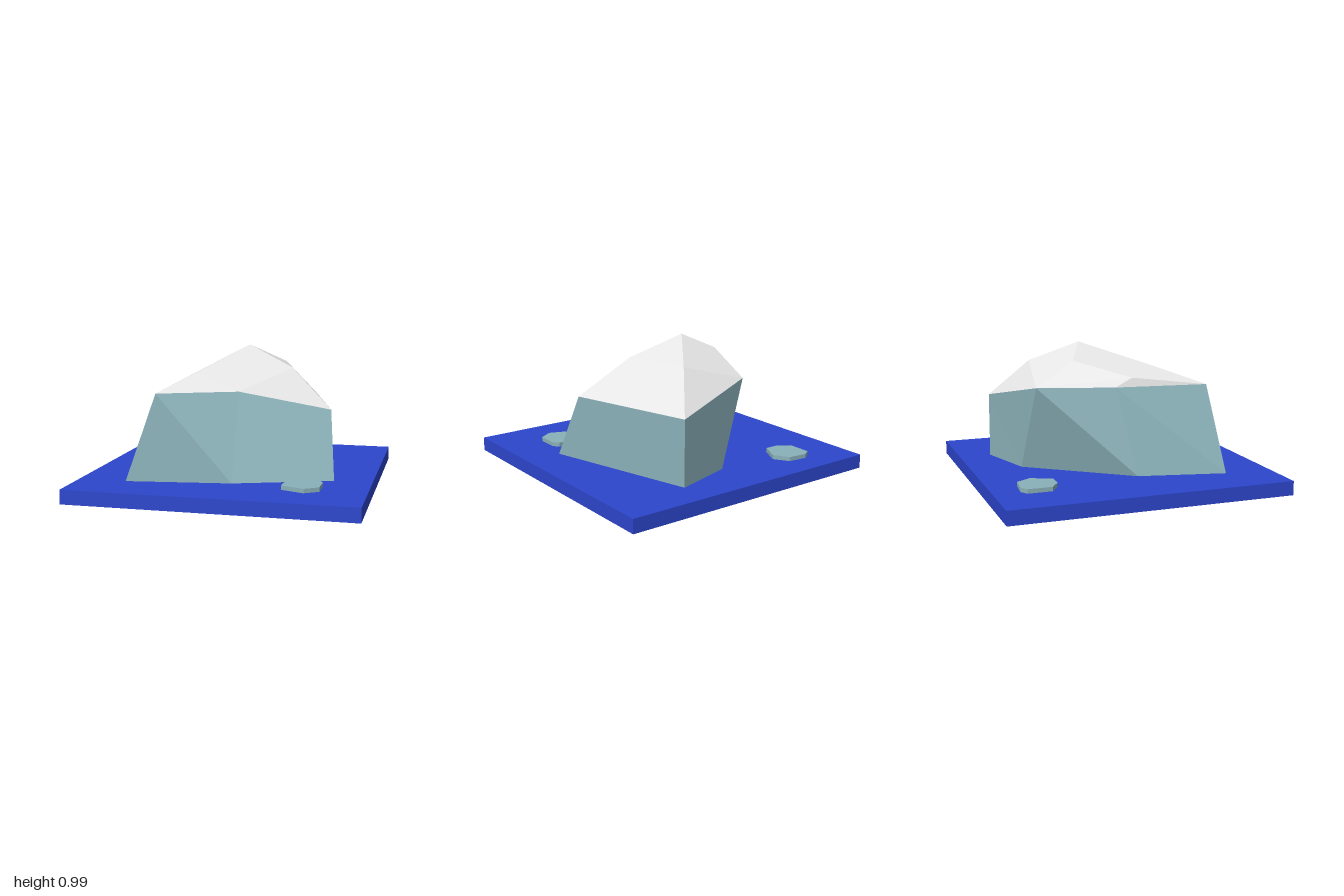
import * as THREE from 'three';

const BASE = 0.1; // height of the water surface

const flat = (name, color) => {
  const m = new THREE.MeshStandardMaterial({ color, flatShading: true });
  m.name = name;
  return m;
};

// Faceted mesh from triangles given as triples of points
function facets(name, triangles, material) {
  const g = new THREE.BufferGeometry();
  g.setAttribute('position', new THREE.Float32BufferAttribute(triangles.flat(2), 3));
  g.computeVertexNormals();
  const mesh = new THREE.Mesh(g, material);
  mesh.name = name;
  return mesh;
}

// Thin floating slab from an outline of [x, z] points
function floe(name, outline, material) {
  const shape = new THREE.Shape(outline.map(([x, z]) => new THREE.Vector2(x, -z)));
  const g = new THREE.ExtrudeGeometry(shape, { depth: 0.03, bevelEnabled: false });
  g.rotateX(-Math.PI / 2).translate(0, BASE, 0);
  const mesh = new THREE.Mesh(g, material);
  mesh.name = name;
  return mesh;
}

export function createModel() {
  const model = new THREE.Group();
  model.name = 'iceberg';
  const water = flat('water blue', 0x2d46cd);
  const ice = flat('pale teal ice', 0x8ab1b9);
  const snow = flat('snow white', 0xe5e5e5);

  // Square of water
  const sea = new THREE.Mesh(new THREE.BoxGeometry(2, BASE, 2), water);
  sea.position.y = BASE / 2;
  sea.name = 'water';
  model.add(sea);

  // Matching rings, anticlockwise from the front: waterline and snow line
  const foot = [[-0.66, 0.66], [0.065, 0.56], [0.735, 0.32], [0.43, -0.77], [0, -0.64], [-0.525, 0.05]]
    .map(([x, z]) => [x, BASE, z]);
  const rim = [[-0.46, 0.705, 0.59], [0.07, 0.705, 0.36], [0.68, 0.565, 0.12],
    [0.43, 0.565, -0.77], [-0.22, 0.705, -0.585], [-0.38, 0.705, -0.06]];

  // Ice walls
  const walls = [];
  rim.forEach((top, i) => {
    const j = (i + 1) % rim.length;
    walls.push([foot[i], foot[j], top], [top, foot[j], rim[j]]);
  });
  model.add(facets('iceWalls', walls, ice));

  // Snow cap: rim, ridge points and peak
  const [a, b, c, d, e, f] = rim;
  const peak = [0.02, 0.985, -0.2];
  const ridgeA = [-0.25, 0.823, 0.27];
  const ridgeC = [0.37, 0.835, -0.06];
  const ridgeD = [0.24, 0.835, -0.51];
  const ridgeE = [-0.19, 0.88, -0.31];
  const ridgeF = [-0.38, 0.767, 0.06];
  model.add(facets('snowCap', [
    [a, b, ridgeA], [ridgeA, b, peak], [peak, b, ridgeC], [b, c, ridgeC],
    [c, d, ridgeD], [c, ridgeD, ridgeC], [ridgeC, ridgeD, peak],
    [d, e, ridgeD], [ridgeD, e, ridgeE], [ridgeD, ridgeE, peak],
    [e, f, ridgeF], [e, ridgeF, ridgeE], [ridgeE, ridgeF, peak],
    [f, a, ridgeF], [ridgeF, a, ridgeA], [ridgeF, ridgeA, peak],
  ], snow));

  // Small floes
  model.add(floe('frontFloe', [[0.43, 0.57], [0.475, 0.475], [0.65, 0.46], [0.685, 0.505],
    [0.685, 0.655], [0.59, 0.72], [0.43, 0.66]], ice));
  model.add(floe('backFloe', [[-0.685, -0.78], [-0.63, -0.815], [-0.49, -0.8], [-0.425, -0.695],
    [-0.495, -0.55], [-0.595, -0.55], [-0.685, -0.61]], ice));

  return model;
}
